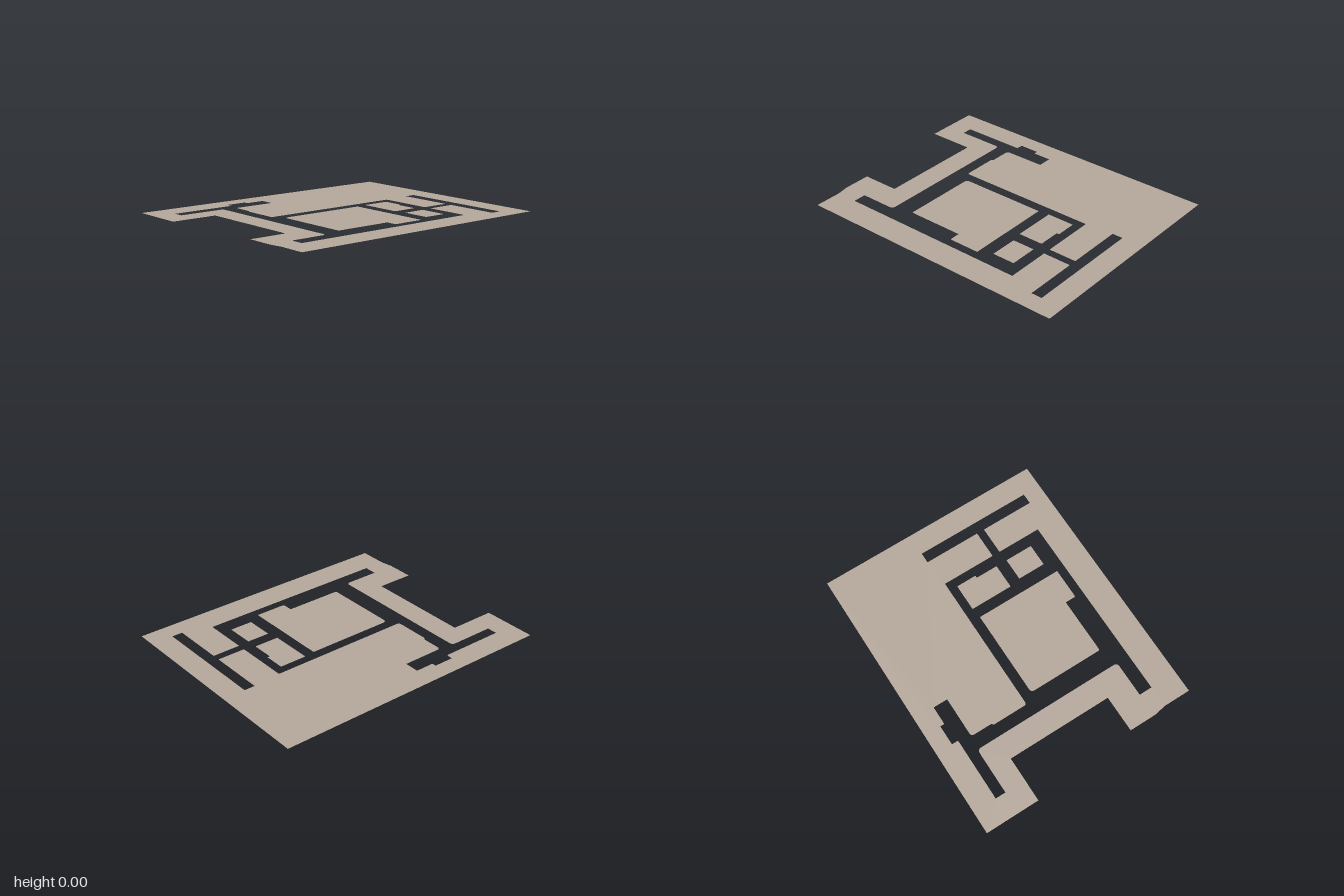
import * as THREE from 'three';

// Closed outline from [x, z, cornerRadius] points; y of the shape is -z.
function trace(path, points) {
  const v = points.map(([x, z]) => new THREE.Vector2(x, -z));
  const toward = (a, b, r) => a.clone().add(b.clone().sub(a).setLength(r));
  points.forEach(([, , r = 0], i) => {
    const p = v[i];
    const a = r ? toward(p, v.at(i - 1), r) : p;
    if (i === 0) path.moveTo(a.x, a.y);
    else path.lineTo(a.x, a.y);
    if (r) {
      const b = toward(p, v[(i + 1) % v.length], r);
      path.quadraticCurveTo(p.x, p.y, b.x, b.y);
    }
  });
  path.closePath();
  return path;
}

export function createModel() {
  const group = new THREE.Group();
  group.name = 'groundPlan';
  const material = new THREE.MeshStandardMaterial({ color: 0xb5a79b, side: THREE.DoubleSide });

  const addPlate = (name, shape) => {
    const geometry = new THREE.ShapeGeometry(shape, 6).rotateX(-Math.PI / 2);
    const mesh = new THREE.Mesh(geometry, material);
    mesh.name = name;
    group.add(mesh);
  };

  // Surrounding plate
  const outer = trace(new THREE.Shape(), [
    [-1, -0.8], [1, -0.8], [1, 0.8], [-0.925, 0.8], [-0.925, 0.61], [-0.94, 0.52],
    [-0.94, 0.33], [-0.68, 0.33], [-0.68, -0.417], [-1, -0.417],
  ]);

  // Connected corridors cut through the plate
  outer.holes.push(trace(new THREE.Path(), [
    [-0.845, -0.636], [-0.398, -0.636, 0.012], [-0.398, -0.682], [-0.257, -0.682],
    [-0.257, -0.652], [-0.126, -0.652], [-0.126, -0.55], [-0.42, -0.55, 0.025],
    [-0.42, -0.4], [-0.433, -0.385], [-0.433, -0.136, 0.02], [0.57, -0.136],
    [0.57, 0.243], [0.768, 0.243], [0.768, -0.152], [0.843, -0.152],
    [0.843, 0.672], [0.768, 0.672], [0.768, 0.298], [0.57, 0.298],
    [0.57, 0.608], [-0.775, 0.608], [-0.775, 0.516], [-0.516, 0.516, 0.028],
    [-0.516, -0.564, 0.028], [-0.845, -0.564],
  ]));
  addPlate('surroundingPlate', outer);

  // Separate blocks standing inside the corridors
  const blocks = {
    largeBlock: [
      [-0.381, -0.067, 0.03], [0.241, -0.067], [0.241, 0.548], [0.02, 0.548, 0.012],
      [0.02, 0.471], [-0.381, 0.471, 0.015],
    ],
    notchedBlock: [
      [0.316, -0.077], [0.51, -0.077], [0.51, 0.067], [0.492, 0.067],
      [0.492, 0.224], [0.316, 0.224],
    ],
    smallBlock: [[0.332, 0.304], [0.492, 0.304], [0.492, 0.5], [0.332, 0.5]],
  };
  for (const [name, points] of Object.entries(blocks)) {
    addPlate(name, trace(new THREE.Shape(), points));
  }

  return group;
}
